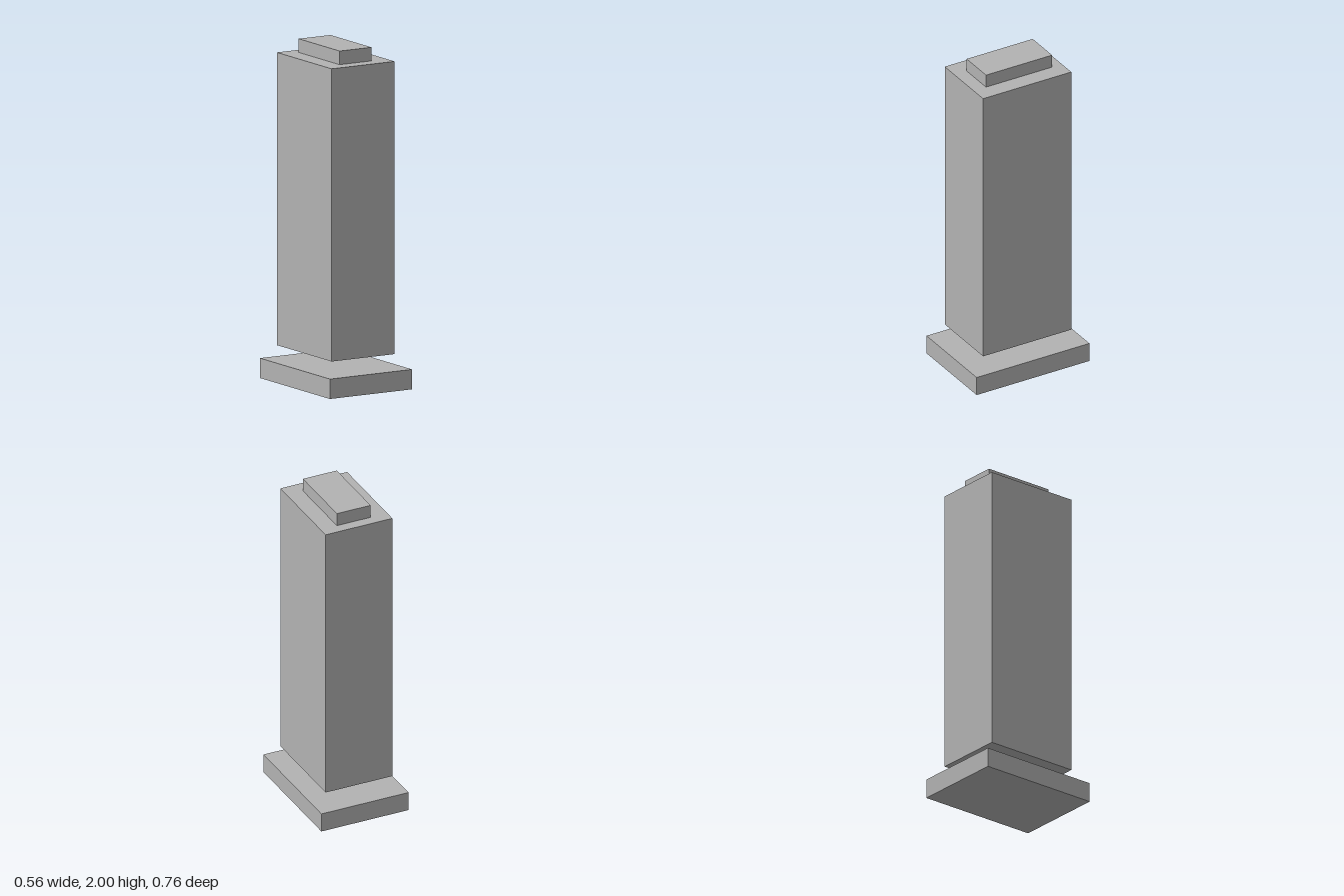
import * as THREE from 'three';

export function createModel() {
  const model = new THREE.Group();
  model.name = 'tower';

  const stone = new THREE.MeshStandardMaterial({ color: 0xb2b2b2 });
  stone.name = 'plain grey';

  // Adds a box spanning the given [min, max] ranges
  function addBlock(name, [x0, x1], [y0, y1], [z0, z1]) {
    const block = new THREE.Mesh(new THREE.BoxGeometry(x1 - x0, y1 - y0, z1 - z0), stone);
    block.position.set((x0 + x1) / 2, (y0 + y1) / 2, (z0 + z1) / 2);
    block.name = name;
    model.add(block);
  }

  // Wide plinth, separated by a gap from the shaft above
  addBlock('basePlinth', [-0.28, 0.28], [0, 0.117], [-0.38, 0.38]);
  // Tall main shaft
  addBlock('mainShaft', [-0.216, 0.213], [0.2, 1.92], [-0.298, 0.296]);
  // Small roof block, set slightly towards the back
  addBlock('roofBlock', [-0.109, 0.108], [1.92, 2], [-0.232, 0.213]);

  return model;
}
